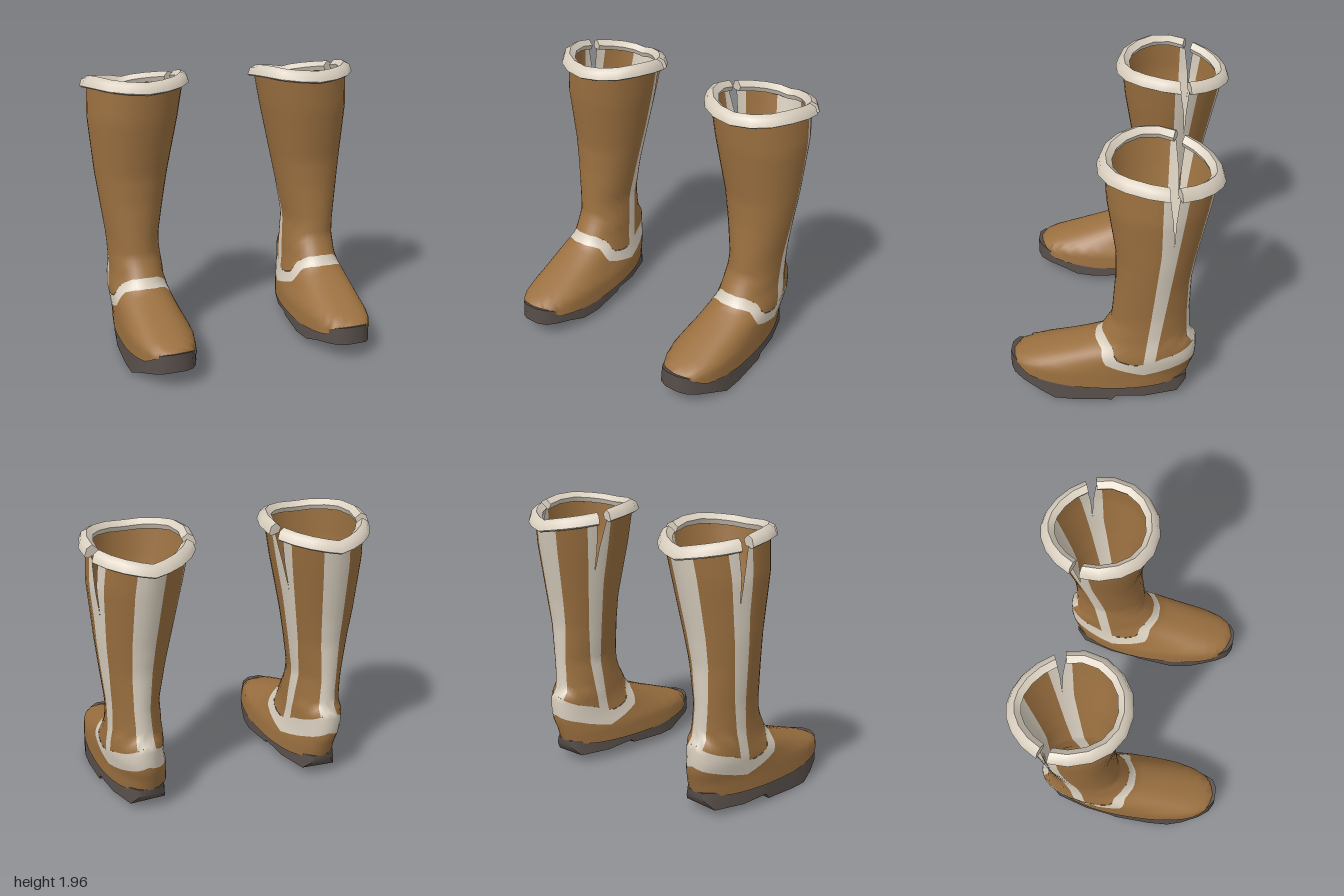
import * as THREE from 'three';
import { toCreasedNormals } from 'three/addons/utils/BufferGeometryUtils.js';

const paint = (name, color, side = THREE.FrontSide) => {
  const m = new THREE.MeshStandardMaterial({ color, side });
  m.name = name;
  return m;
};

// Piecewise linear lookup: rows are [key, value, value...]
function at(table, key, col = 1) {
  let i = 1;
  while (i < table.length - 1 && key > table[i][0]) i++;
  const a = table[i - 1], b = table[i];
  const t = THREE.MathUtils.clamp((key - a[0]) / (b[0] - a[0]), 0, 1);
  return a[col] + (b[col] - a[col]) * t;
}

// Horizontal slices: y, inner x, outer x, back z, front z, front and back roundness
const SLICES = [
  [0.13, 0.41, 0.89, -0.52, 0.722, 2.6, 2.1], [0.25, 0.422, 0.888, -0.555, 0.7, 2.6, 2.1],
  [0.33, 0.455, 0.885, -0.58, 0.48, 2.5, 2.1], [0.40, 0.475, 0.885, -0.585, 0.29, 2.4, 2.1],
  [0.47, 0.487, 0.875, -0.585, 0.125, 2.3, 2], [0.53, 0.49, 0.868, -0.58, 0.075, 2.2, 2],
  [0.56, 0.49, 0.865, -0.54, 0.06, 2.2, 1.9], [0.67, 0.497, 0.867, -0.532, 0.0, 2.1, 1.8],
  [0.78, 0.505, 0.873, -0.53, -0.01, 2.1, 1.8], [1.05, 0.455, 0.91, -0.535, -0.03, 2.1, 1.8],
  [1.25, 0.415, 0.935, -0.565, -0.03, 2.1, 1.8], [1.65, 0.33, 0.97, -0.645, 0.03, 2.1, 1.75],
  [1.90, 0.285, 0.96, -0.69, 0.05, 2.1, 1.7],
];
const power = (v, e) => Math.sign(v) * Math.abs(v) ** e;

// Point on the boot surface; angle 0 is the front, PI the back
function surface(angle, y) {
  const [xl, xr, zb, zf] = [1, 2, 3, 4].map(c => at(SLICES, y, c));
  const e = 2 / at(SLICES, y, Math.cos(angle) > 0 ? 5 : 6);
  return new THREE.Vector3(
    (xl + xr) / 2 + (xr - xl) / 2 * power(Math.sin(angle), e), y,
    (zb + zf) / 2 + (zf - zb) / 2 * power(Math.cos(angle), e));
}
function angleOf(z, y) {
  const [zb, zf] = [3, 4].map(c => at(SLICES, y, c));
  const k = THREE.MathUtils.clamp((z - (zb + zf) / 2) / ((zf - zb) / 2), -1, 1);
  return Math.acos(power(k, at(SLICES, y, k > 0 ? 5 : 6) / 2));
}
const around = table => angle => {
  const a = Math.abs(angle) / Math.PI;
  return at(table, a > 1 ? 2 - a : a);
};

// Heights around the boot
const soleLine = around([[0, 0.245], [0.12, 0.22], [0.25, 0.16], [0.45, 0.13], [0.75, 0.145], [1, 0.175]]);
const bandLow = around([[0, 0.485], [0.15, 0.475], [0.27, 0.455], [0.38, 0.4], [0.49, 0.33], [0.65, 0.265], [0.8, 0.33], [1, 0.38]]);
const bandHigh = around([[0, 0.55], [0.15, 0.54], [0.28, 0.5], [0.48, 0.385], [0.57, 0.365], [0.64, 0.43], [1, 0.54]]);
const topLine = around([[0, 1.865], [0.35, 1.89], [0.53, 1.875], [0.6, 1.85], [1, 1.785]]);

// Edges of the side trim and slit, as angles by height
const edge = table => y => angleOf(at(table, y), y);
const trimFront = edge([[0.36, -0.235], [0.8, -0.285], [1.4, -0.345], [1.9, -0.35]]);
const slitFront = edge([[0.36, -0.275], [0.8, -0.33], [1.48, -0.42], [1.66, -0.412], [1.9, -0.38]]);
const slitBack = edge([[0.36, -0.275], [0.8, -0.33], [1.48, -0.42], [1.66, -0.427], [1.9, -0.45]]);
const trimBack = edge([[0.36, -0.31], [0.8, -0.37], [1.3, -0.435], [1.9, -0.515]]);
const backStrip = () => Math.PI - 0.35;

// Patch of the boot surface between two angle edges and two height lines
function patch(from, to, low, high, cols, rows) {
  const pos = [], nor = [], index = [];
  for (let j = 0; j <= rows; j++) for (let i = 0; i <= cols; i++) {
    let y = 0.5, angle = 0;
    for (let k = 0; k < 6; k++) {
      angle = THREE.MathUtils.lerp(from(y), to(y), i / cols);
      y = THREE.MathUtils.lerp(low(angle), high(angle), j / rows);
    }
    const du = surface(angle + 0.09, y).sub(surface(angle - 0.09, y));
    const dv = surface(angle, y + 0.03).sub(surface(angle, y - 0.03));
    pos.push(...surface(angle, y));
    nor.push(...du.cross(dv).normalize());
    if (i < cols && j < rows) {
      const a = j * (cols + 1) + i, d = a + cols + 1;
      index.push(a, a + 1, d + 1, a, d + 1, d);
    }
  }
  const g = new THREE.BufferGeometry();
  g.setAttribute('position', new THREE.Float32BufferAttribute(pos, 3));
  g.setAttribute('normal', new THREE.Float32BufferAttribute(nor, 3));
  g.setIndex(index);
  return g;
}

// Closed solid through a row of equal sized rings
function loft(rings, crease) {
  const n = rings[0].length, last = (rings.length - 1) * n, index = [];
  for (let r = 0; r < rings.length - 1; r++) for (let j = 0; j < n; j++) {
    const a = r * n + j, b = r * n + (j + 1) % n;
    index.push(a, b, b + n, a, b + n, a + n);
  }
  for (let j = 1; j < n - 1; j++) index.push(0, j + 1, j, last, last + j, last + j + 1);
  const g = new THREE.BufferGeometry();
  g.setAttribute('position', new THREE.Float32BufferAttribute(rings.flat(2), 3));
  g.setIndex(index);
  return toCreasedNormals(g, crease);
}

// Rolled rim following the top line between two angles
const RIM = [[0.03, -0.012], [-0.035, 0.0], [-0.05, 0.035], [-0.01, 0.07], [0.03, 0.05], [0.048, 0.0]];
function collar(from, to, steps) {
  const rings = [];
  for (let i = 0; i <= steps; i++) {
    const angle = THREE.MathUtils.lerp(from, to, i / steps);
    const p = surface(angle, topLine(angle));
    rings.push(RIM.map(([r, h]) => [p.x + r * Math.sin(angle), p.y + h, p.z + r * Math.cos(angle)]));
  }
  return loft(rings, 0.9);
}

// Sole stations: z, inner x, outer x, bottom, top, inner lift
const SOLE = [
  [-0.53, 0.58, 0.73, 0.13, 0.18, 0], [-0.47, 0.53, 0.78, 0.055, 0.178, 0.01],
  [-0.25, 0.465, 0.845, 0.045, 0.152, 0.02], [-0.045, 0.43, 0.88, 0.06, 0.142, 0.03],
  [-0.02, 0.43, 0.88, 0.02, 0.14, 0.045], [0.25, 0.405, 0.888, 0.005, 0.135, 0.05],
  [0.39, 0.425, 0.88, 0.0, 0.142, 0.05], [0.5, 0.45, 0.857, 0.05, 0.165, 0.035],
  [0.62, 0.49, 0.805, 0.085, 0.21, 0.02], [0.69, 0.53, 0.755, 0.105, 0.24, 0.01],
  [0.722, 0.59, 0.7, 0.12, 0.25, 0],
];
const soleGeometry = () => loft(SOLE.map(([z, xl, xr, yb, yt, lift]) =>
  [[xl, yb + lift, z], [xr, yb, z], [xr - 0.008, yt, z], [xl + 0.008, yt, z]]), 1);

// Mirrored copy across x = 0 with the corner order turned round
function mirrored(source) {
  const g = source.index ? source.toNonIndexed() : source.clone();
  g.scale(-1, 1, 1);
  const order = [];
  for (let i = 0; i < g.attributes.position.count; i += 3) order.push(i, i + 2, i + 1);
  g.setIndex(order);
  return g;
}

export function createModel() {
  const leather = paint('brown leather', 0x9b7040, THREE.DoubleSide);
  const trim = paint('cream trim', 0xd8cebe, THREE.DoubleSide);
  const rubber = paint('dark sole', 0x574e4a);
  const parts = [];
  const add = (name, geometry, material) => parts.push({ name, geometry, material });
  const T = 2 * Math.PI, still = a => () => a;

  add('sole', soleGeometry(), rubber);
  add('foot', patch(still(0), still(T), soleLine, bandLow, 40, 8), leather);
  add('ankleBand', patch(still(0), still(T), bandLow, bandHigh, 40, 4), trim);

  // Shaft panels, from front to back
  const panel = (name, from, to, cols, material) =>
    add(name, patch(from, to, bandHigh, topLine, cols, 24), material);
  panel('frontPanel', y => -trimFront(y), trimFront, 20, leather);
  panel('backStrip', backStrip, y => T - backStrip(y), 4, trim);
  const sideStrips = [['slitFrontTrim', trimFront, slitFront, 2, trim],
    ['slitBackTrim', slitBack, trimBack, 2, trim], ['rearPanel', trimBack, backStrip, 7, leather]];
  for (const [name, a, b, cols, material] of sideStrips) {
    panel(name + 'Outer', a, b, cols, material);
    panel(name + 'Inner', y => T - b(y), y => T - a(y), cols, material);
  }

  // Collar in two pieces, parted at the slits
  const f = slitFront(1.88), b = slitBack(1.86);
  add('frontCollar', collar(-f, f, 10), trim);
  add('backCollar', collar(b, T - b, 8), trim);

  const model = new THREE.Group();
  model.name = 'boots';
  for (const side of ['left', 'right']) {
    const boot = new THREE.Group();
    boot.name = side + 'Boot';
    for (const { name, geometry, material } of parts) {
      const mesh = new THREE.Mesh(side === 'left' ? geometry : mirrored(geometry), material);
      mesh.name = name;
      boot.add(mesh);
    }
    model.add(boot);
  }
  return model;
}
